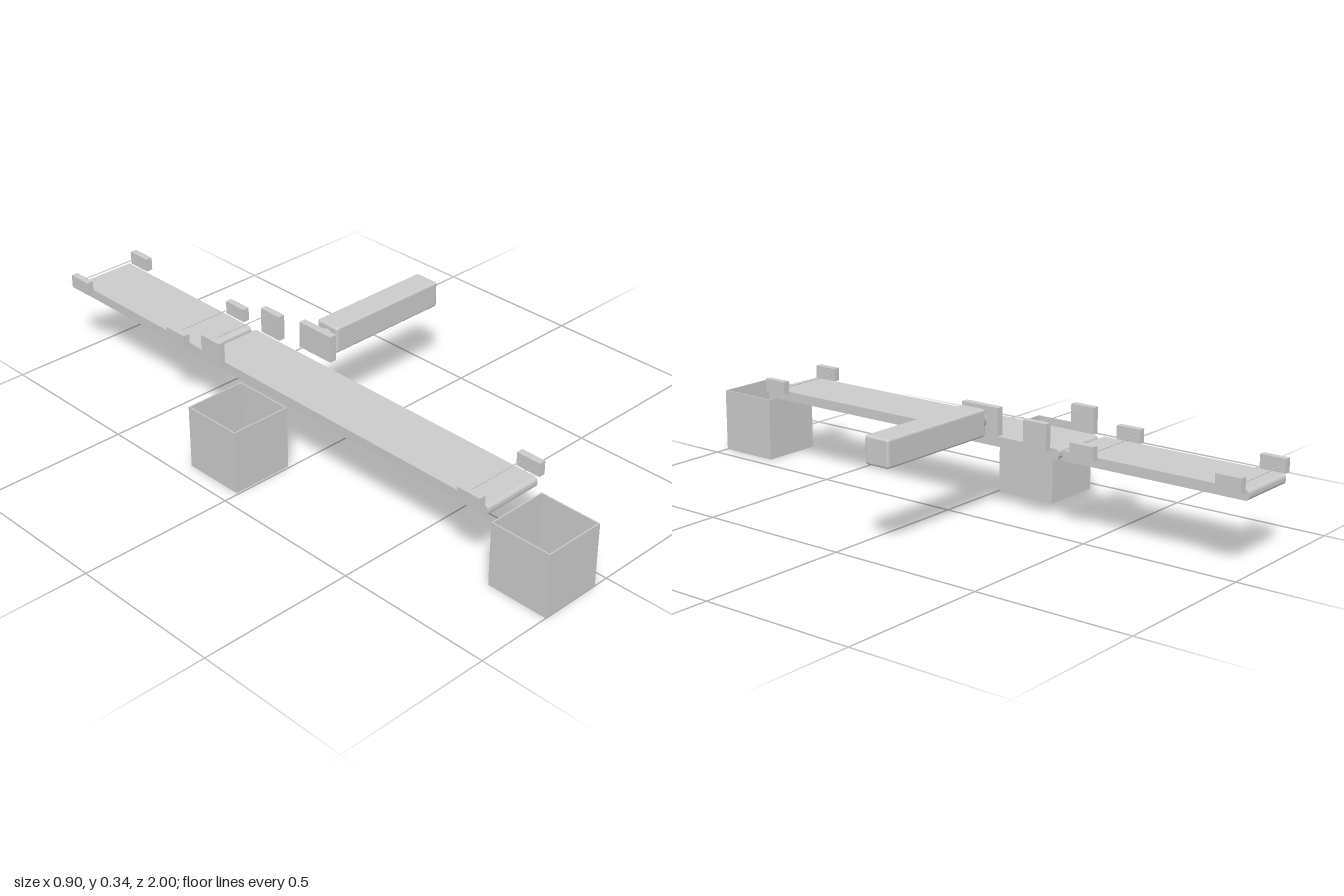
import * as THREE from 'three';
import { RoundedBoxGeometry } from 'three/addons/geometries/RoundedBoxGeometry.js';

const grey = new THREE.MeshStandardMaterial({ color: 0xcccccc });

function add(parent, name, geometry, x, y, z) {
  const mesh = new THREE.Mesh(geometry, grey);
  mesh.name = name;
  mesh.position.set(x, y, z);
  parent.add(mesh);
  return mesh;
}

const BELT_X = -0.15, BELT_W = 0.2, BELT_Y0 = 0.215, BELT_Y1 = 0.246;

// Conveyor belt: side profile with rounded ends, extruded across its width
function makeBelt(parent, name, z0, z1) {
  const r = 0.012, len = z1 - z0, h = BELT_Y1 - BELT_Y0;
  const s = new THREE.Shape();
  s.absarc(r, r, r, Math.PI, Math.PI * 1.5);
  s.absarc(len - r, r, r, -Math.PI / 2, 0);
  s.absarc(len - r, h - r, r, 0, Math.PI / 2);
  s.absarc(r, h - r, r, Math.PI / 2, Math.PI);
  const geo = new THREE.ExtrudeGeometry(s, { depth: BELT_W, bevelEnabled: false, curveSegments: 8 });
  geo.translate(0, 0, -BELT_W / 2);
  geo.rotateY(-Math.PI / 2);
  add(parent, name, geo, BELT_X, BELT_Y0, z0);
}

// Light barrier: a pair of sensor blocks joined by a thin beam
function makeBarrier(parent, name, z, height, beamY, beamZ) {
  const g = new THREE.Group();
  g.name = name;
  for (const side of [-1, 1]) {
    add(g, 'sensorBlock', new THREE.BoxGeometry(0.022, height, 0.082), BELT_X + side * 0.12, 0.242 + height / 2, z);
  }
  const beam = add(g, 'beam', new THREE.CylinderGeometry(0.0015, 0.0015, 0.222, 8), BELT_X, beamY, beamZ);
  beam.rotation.z = Math.PI / 2;
  parent.add(g);
}

// Open-topped bin with thin walls
function makeBin(parent, name, x, z) {
  const s = 0.203, h = 0.205, t = 0.004;
  const g = new THREE.Group();
  g.name = name;
  add(g, 'binFloor', new THREE.BoxGeometry(s, t, s), 0, t / 2, 0);
  for (const side of [-1, 1]) {
    add(g, 'binSideWall', new THREE.BoxGeometry(t, h, s), side * (s - t) / 2, h / 2, 0);
    add(g, 'binEndWall', new THREE.BoxGeometry(s - 2 * t, h, t), 0, h / 2, side * (s - t) / 2);
  }
  g.position.set(x, 0, z);
  parent.add(g);
}

export function createModel() {
  const model = new THREE.Group();
  model.name = 'sortingConveyor';

  makeBelt(model, 'feedBelt', -1, -0.385);
  makeBelt(model, 'mainBelt', -0.372, 0.782);

  // Low barriers at the belt ends, one tall barrier before the pusher
  for (const z of [-0.952, -0.472, 0.738]) {
    makeBarrier(model, 'lowBarrier', z, 0.043, 0.262, z - 0.027);
  }
  makeBarrier(model, 'tallBarrier', -0.307, 0.082, 0.318, -0.31);

  makeBin(model, 'endBin', BELT_X, 0.898);
  makeBin(model, 'sideBin', -0.349, -0.108);

  // Pusher: plate, piston rod and cylinder housing
  const pusher = new THREE.Group();
  pusher.name = 'pusher';
  add(pusher, 'pusherPlate', new THREE.BoxGeometry(0.024, 0.086, 0.134), -0.028, 0.301, -0.108);
  const rod = add(pusher, 'pusherRod', new THREE.CylinderGeometry(0.027, 0.027, 0.04, 32), -0.002, 0.301, -0.108);
  rod.rotation.z = Math.PI / 2;
  add(pusher, 'pusherHousing', new RoundedBoxGeometry(0.435, 0.086, 0.086, 4, 0.008), 0.2285, 0.301, -0.108);
  model.add(pusher);

  return model;
}
